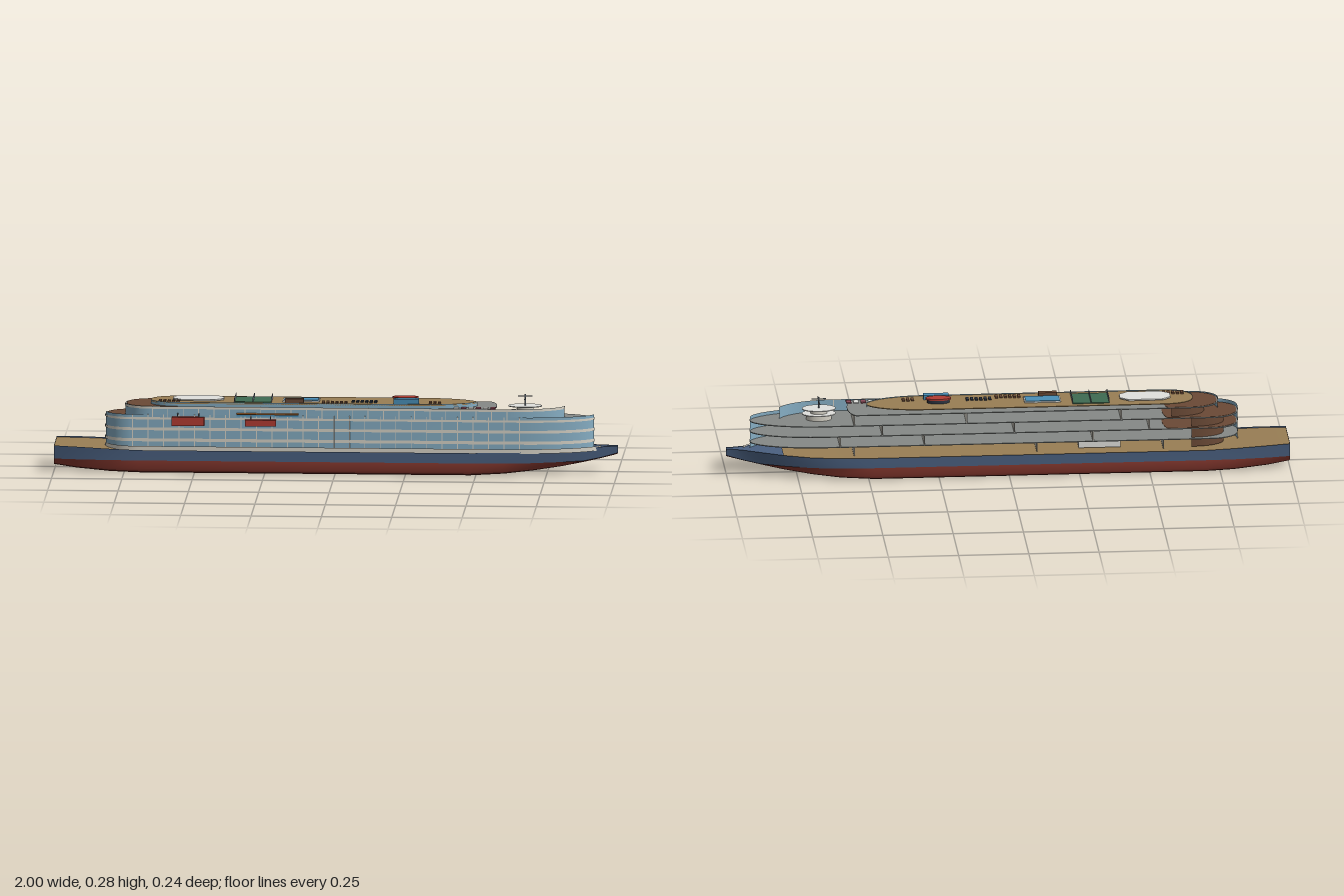
import * as THREE from 'three';
import { toCreasedNormals } from 'three/addons/utils/BufferGeometryUtils.js';

const mat = (color) => new THREE.MeshStandardMaterial({ color, side: THREE.DoubleSide });
const M = {
  navy: mat(0x4a6080), red: mat(0x8a3a30), tan: mat(0x9a7f55), grey: mat(0x868a88), brown: mat(0x6b4a36),
  cream: mat(0xd8d4c8), glass: mat(0x86aec4), white: mat(0xe2e2de), dark: mat(0x2c3442), green: mat(0x3f6b52),
  pool: mat(0x4a8fb8), boat: mat(0xb23c32), steel: mat(0x6c7680), orange: mat(0xc07838), plum: mat(0x8a4a58),
};

export function createModel() {
  const ship = new THREE.Group();
  ship.name = 'cutawayShip';
  const add = (name, geo, m, parent = ship) => {
    const mesh = new THREE.Mesh(geo, m);
    mesh.name = name;
    parent.add(mesh);
    return mesh;
  };
  // Box given by its x, y and z ranges
  const box = (name, m, x0, x1, y0, y1, z0, z1, parent) => {
    const b = add(name, new THREE.BoxGeometry(x1 - x0, y1 - y0, z1 - z0), m, parent);
    b.position.set((x0 + x1) / 2, (y0 + y1) / 2, (z0 + z1) / 2);
    return b;
  };
  // Surface through rows of [x, y, z] points
  const loft = (rows) => {
    const n = rows[0].length, idx = [];
    for (let i = 0; i < rows.length - 1; i++) for (let j = 0; j < n - 1; j++) {
      const a = i * n + j, b = a + n;
      idx.push(a, a + 1, b, b, a + 1, b + 1);
    }
    const g = new THREE.BufferGeometry();
    g.setAttribute('position', new THREE.Float32BufferAttribute(rows.flat(2), 3));
    g.setIndex(idx);
    return toCreasedNormals(g, 0.5);
  };
  const ribbon = (pts, y0, y1) => loft(pts.map(([x, z]) => [[x, y0, z], [x, y1, z]]));

  // Hull stations: x, half beam at the rail, keel height, rail height, fullness below
  const stations = [
    [-1, 0.1, 0.022, 0.093, 0.88], [-0.92, 0.111, 0.012, 0.091, 0.92], [-0.8, 0.119, 0.003, 0.086, 0.97],
    [-0.7, 0.12, 0, 0.082, 1], [0, 0.12, 0, 0.082, 1], [0.48, 0.12, 0, 0.082, 1], [0.6, 0.118, 0.006, 0.083, 0.96],
    [0.7, 0.108, 0.015, 0.085, 0.88], [0.8, 0.081, 0.026, 0.088, 0.76], [0.88, 0.05, 0.038, 0.091, 0.6],
    [0.94, 0.025, 0.05, 0.093, 0.5], [0.98, 0.013, 0.06, 0.094, 0.5], [1, 0.01, 0.066, 0.095, 0.5],
  ];
  const closeEnds = (rows) => {
    const flat = (r) => r.map(([x, y]) => [x, y, 0]);
    return [flat(rows[0]), ...rows, flat(rows[rows.length - 1])];
  };
  const water = (k) => Math.max(0.045, k + 0.004);
  add('lowerHull', loft(closeEnds(stations.map(([x, w, k, , f]) => {
    const wl = water(k), b = w * (0.5 + 0.5 * f), h = wl - k;
    const half = [[wl, b], [k + h * 0.35, b * f], [k + h * 0.12, b * f * 0.96], [k, b * f * 0.87]];
    return [...half.map(([y, z]) => [x, y, z]), ...half.reverse().map(([y, z]) => [x, y, -z])];
  }))), M.red);
  for (const s of [1, -1]) {
    add('upperHull', loft(closeEnds(stations.map(([x, w, k, t, f]) =>
      [[x, t, s * w], [x, water(k), s * w * (0.5 + 0.5 * f)]]))), M.navy);
  }
  const deckRows = (list, lift) => loft(list.map(([x, w, , t]) => [[x, t - lift, w * 0.98], [x, t - lift, -w * 0.98]]));
  add('mainDeck', deckRows(stations.slice(0, 9), 0.004), M.tan);
  add('bowDeck', deckRows(stations.slice(8), 0.002), M.navy);

  // Plan curve of a deck on the +z side, from bow tip to stern tip
  const plan = (a, b, w, bow, stern) => {
    const pts = [], n = 16;
    for (let i = 0; i <= n; i++) {
      const u = Math.PI / 2 * (1 - i / n);
      pts.push([b - bow + bow * Math.sin(u), w * Math.pow(Math.max(0, Math.cos(u)), 1.1)]);
    }
    for (let i = 0; i <= n; i++) {
      const u = Math.PI / 2 * i / n;
      pts.push([a + stern - stern * Math.sin(u), w * Math.pow(Math.max(0, Math.cos(u)), 0.8)]);
    }
    return pts;
  };
  const plate = (name, m, pts, y, t = 0.003) => {
    const all = [...pts, ...pts.slice(1, -1).reverse().map(([x, z]) => [x, -z])];
    const g = new THREE.ExtrudeGeometry(new THREE.Shape(all.map((p) => new THREE.Vector2(...p))),
      { depth: t, bevelEnabled: false });
    g.rotateX(-Math.PI / 2);
    add(name, g, m).position.y = y;
  };

  // Decks, open on the -z side
  const lower = plan(-0.82, 0.915, 0.09, 0.26, 0.1);
  const upper = plan(-0.75, 0.81, 0.088, 0.2, 0.1);
  const shortDeck = plan(-0.75, 0.57, 0.088, 0.03, 0.1);
  const sun = plan(-0.66, 0.5, 0.077, 0.2, 0.1);
  plate('firstDeck', M.grey, lower, 0.114);
  plate('secondDeck', M.grey, lower, 0.153);
  plate('thirdDeck', M.grey, lower, 0.192);
  plate('fourthDeck', M.grey, shortDeck, 0.23);
  plate('sunDeck', M.tan, sun, 0.243);

  // Facade on the +z side: cream bands, glass bands and mullions
  const facade = (pts, y0, y1, bands) => {
    const g = new THREE.Group();
    g.name = 'facade';
    ship.add(g);
    const out = pts.map(([x, z]) => [x, z + 0.003]);
    add('glassWall', ribbon(out, y0, y1), M.glass, g);
    const proud = pts.map(([x, z], i) => [x + (i < 17 ? 0.002 : -0.002), z + 0.0045]);
    for (const [a, b] of bands) add('creamBand', ribbon(proud, a, b), M.cream, g);
    const x0 = pts[pts.length - 1][0] + 0.1, x1 = pts[16][0], n = Math.round((x1 - x0) / 0.055);
    for (let i = 0; i <= n; i++) {
      const x = x0 + (x1 - x0) * i / n;
      box('mullion', M.cream, x - 0.0015, x + 0.0015, y0, y1, pts[16][1] + 0.002, pts[16][1] + 0.0055, g);
    }
  };
  facade(lower, 0.08, 0.207, [[0.08, 0.092], [0.11, 0.121], [0.15, 0.16], [0.189, 0.197]]);
  facade(upper, 0.195, 0.236, [[0.195, 0.199], [0.227, 0.236]]);
  add('sunDeckWall', ribbon(sun, 0.232, 0.249), M.glass);
  add('promenadeWall', ribbon(plan(-0.82, 0.94, 0.114, 0.34, 0.12), 0.08, 0.096), M.cream);

  // Cross walls between the open decks
  const rooms = [[0.083, 0.114, [0.55, -0.1, -0.55]], [0.117, 0.153, [0.6, 0.3, -0.3]],
    [0.156, 0.192, [0.45, -0.02, -0.5]], [0.195, 0.23, [0.55, 0.15, -0.4]]];
  for (const [y0, y1, xs] of rooms) for (const x of xs)
    box('crossWall', M.cream, x - 0.002, x + 0.002, y0, y1, -0.088, 0.085);
  box('cabinBlock', M.white, -0.4, -0.25, 0.083, 0.114, -0.06, 0.05);

  // Brown stern terraces
  const mirror = (pts) => pts.map(([x, z]) => [x, -z]);
  for (const [y0, y1, a] of [[0.083, 0.114, -0.77], [0.117, 0.153, -0.77], [0.156, 0.192, -0.77], [0.195, 0.23, -0.7]]) {
    const p = plan(a, 0.5, 0.075, 0.2, 0.12);
    add('sternWall', ribbon(mirror(p.slice(17)), y0, y1), M.brown);
  }
  for (const [y, a, w] of [[0.1955, -0.815, 0.088], [0.2335, -0.745, 0.086], [0.1565, -0.815, 0.088]])
    plate('sternTerrace', M.brown, plan(a, -0.55, w, 0.02, 0.1), y, 0.001);

  // Bow lounge with mast
  const disc = (name, m, x, y, rx, rz, h, seg = 32) => {
    const d = add(name, new THREE.CylinderGeometry(1, 1, h, seg), m);
    d.scale.set(rx, 1, rz);
    d.position.set(x, y, 0);
  };
  disc('loungeBase', M.cream, 0.67, 0.206, 0.045, 0.03, 0.022);
  disc('loungeLowerRoof', M.white, 0.67, 0.216, 0.06, 0.04, 0.003);
  disc('loungeCore', M.cream, 0.67, 0.225, 0.03, 0.02, 0.016);
  disc('loungeRoof', M.white, 0.67, 0.2345, 0.06, 0.04, 0.003);
  box('mast', M.steel, 0.668, 0.672, 0.235, 0.276, -0.002, 0.002);
  box('mastArm', M.steel, 0.645, 0.695, 0.268, 0.271, -0.002, 0.002);
  box('mastCross', M.steel, 0.668, 0.672, 0.262, 0.264, -0.045, 0.045);
  for (let i = 0; i < 6; i++)
    box('seat', i % 2 ? M.plum : M.white, 0.42 + i * 0.026, 0.438 + i * 0.026, 0.233, 0.237, 0.05, 0.08);

  // Sun deck fittings
  const top = 0.246;
  const oval = new THREE.Shape([[-0.09, -0.02], [-0.06, -0.045], [0.06, -0.045], [0.09, -0.02],
    [0.09, 0.02], [0.06, 0.045], [-0.06, 0.045], [-0.09, 0.02]].map((p) => new THREE.Vector2(...p)));
  const canopy = add('sternCanopy', new THREE.ExtrudeGeometry(oval, { depth: 0.005, bevelEnabled: false }), M.white);
  canopy.rotation.x = -Math.PI / 2;
  canopy.position.set(-0.49, top + 0.003, 0);
  box('court', M.green, -0.36, -0.23, top, top + 0.003, -0.056, 0.056);
  for (const x of [-0.36, -0.295, -0.23]) box('courtScreen', M.steel, x - 0.001, x + 0.001, top, 0.262, -0.056, 0.056);
  box('poolEdge', M.white, -0.19, -0.06, top, top + 0.004, -0.032, 0.032);
  box('pool', M.pool, -0.186, -0.064, top, top + 0.006, -0.028, 0.028);
  box('poolBar', M.brown, -0.18, -0.115, top, 0.261, 0.034, 0.055);
  disc('funnelBase', M.dark, 0.245, 0.252, 0.04, 0.02, 0.012);
  disc('funnelTop', M.boat, 0.245, 0.261, 0.046, 0.023, 0.006);
  box('deckHouse', M.pool, 0.205, 0.295, top, 0.263, 0.03, 0.056);
  const loungers = [[-0.63, 5, 0.03, M.brown], [-0.05, 6, 0.03, M.brown], [0.055, 6, 0.01, M.dark], [0.33, 3, 0.02, M.brown]];
  for (const [x, n, z, m] of loungers) for (let i = 0; i < n; i++)
    box('lounger', m, x + i * 0.016, x + i * 0.016 + 0.01, top, top + 0.005, z, z + 0.026);

  // Lifeboats and side platform
  box('largeLifeboat', M.boat, -0.58, -0.465, 0.17, 0.2, 0.094, 0.114);
  box('smallLifeboat', M.boat, -0.32, -0.21, 0.17, 0.192, 0.094, 0.114);
  box('sidePlatform', M.orange, -0.35, -0.13, 0.211, 0.214, 0.088, 0.112);
  box('platformBeam', M.pool, -0.35, -0.13, 0.203, 0.211, 0.092, 0.096);
  for (const x of [-0.56, -0.485, -0.3, -0.23]) box('davit', M.steel, x - 0.002, x + 0.002, 0.19, 0.212, 0.092, 0.1);
  return ship;
}
